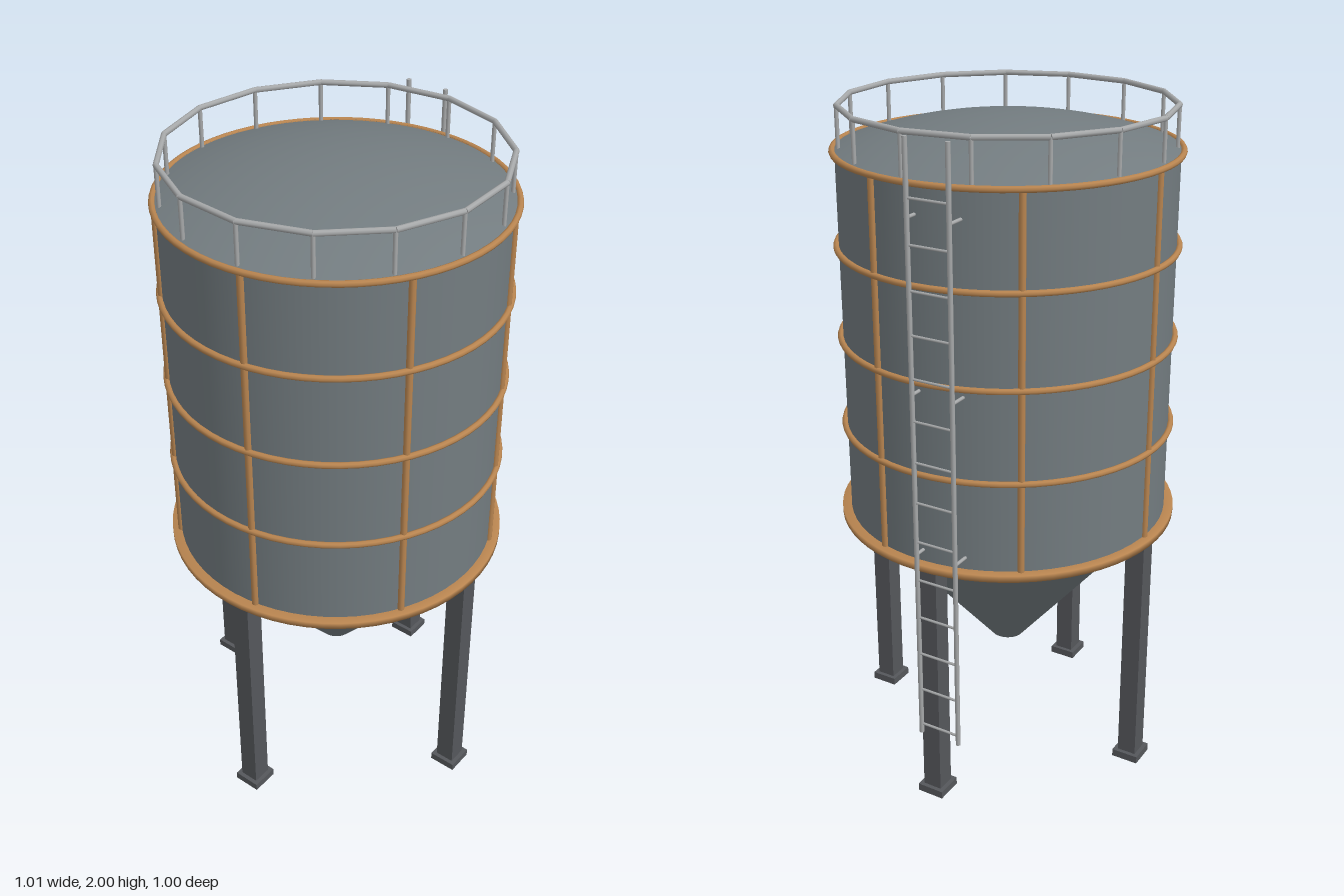
import * as THREE from 'three';

const mat = (color, side = THREE.FrontSide) => new THREE.MeshStandardMaterial({ color, side });
const steel = mat(0x737c80, THREE.DoubleSide);
const copper = mat(0xb98550);
const dark = mat(0x55575b);
const pipe = mat(0xa8aaab);

const V = (x, y, z) => new THREE.Vector3(x, y, z);
const CX = -0.009; // tank axis, offset to make room for the ladder

function add(parent, name, geometry, material, x = 0, y = 0, z = 0) {
  const mesh = new THREE.Mesh(geometry, material);
  mesh.name = name;
  mesh.position.set(x, y, z);
  parent.add(mesh);
  return mesh;
}

// Round bar between two points
function bar(parent, name, a, b, radius, material, sides = 8) {
  const d = b.clone().sub(a);
  const mesh = add(parent, name, new THREE.CylinderGeometry(radius, radius, d.length(), sides), material);
  mesh.position.copy(a).add(b).multiplyScalar(0.5);
  mesh.quaternion.setFromUnitVectors(V(0, 1, 0), d.normalize());
  return mesh;
}

// Point on a circle around the tank axis, angle in degrees from +z towards +x
function around(deg, r, y) {
  const a = THREE.MathUtils.degToRad(deg);
  return V(Math.sin(a) * r, y, Math.cos(a) * r);
}

export function createModel() {
  const model = new THREE.Group();
  model.name = 'silo';
  const tank = new THREE.Group();
  tank.name = 'tank';
  tank.position.x = CX;
  model.add(tank);

  // Shell, domed roof and hopper
  const shellR = 0.473;
  add(tank, 'shell', new THREE.CylinderGeometry(shellR, shellR, 1.085, 64, 1, true), steel, 0, 1.3325);
  const rise = 0.08;
  const domeR = (shellR * shellR + rise * rise) / (2 * rise);
  add(tank, 'roof',
    new THREE.SphereGeometry(domeR, 64, 10, 0, Math.PI * 2, 0, Math.asin(shellR / domeR)),
    steel, 0, 1.953 - domeR);
  add(tank, 'hopper', new THREE.CylinderGeometry(0.447, 0.05, 0.47, 64), steel, 0, 0.56);

  // Hoops around the shell
  for (const y of [1.073, 1.34, 1.605, 1.87]) {
    const hoop = add(tank, 'hoop', new THREE.TorusGeometry(0.48, 0.009, 8, 64), copper, 0, y);
    hoop.rotation.x = Math.PI / 2;
  }

  // Flat base flange
  const flange = [[0.44, 0.785], [0.5, 0.785], [0.5, 0.805], [0.44, 0.805], [0.44, 0.785]];
  const flangeGeometry = new THREE.LatheGeometry(flange.map(([r, y]) => new THREE.Vector2(r, y)), 64);
  add(tank, 'baseFlange', flangeGeometry, copper);

  // Vertical ribs
  for (let i = 0; i < 7; i++) {
    const deg = 22 + (i * 360) / 7;
    bar(tank, 'rib', around(deg, 0.474, 0.795), around(deg, 0.474, 1.87), 0.01, copper);
  }

  // Roof railing
  const railing = new THREE.Group();
  railing.name = 'railing';
  tank.add(railing);
  for (let i = 0; i < 15; i++) {
    const deg = 13.4 + i * 24;
    const top = around(deg, 0.462, 1.991);
    bar(railing, 'railPost', around(deg, 0.462, 1.868), top, 0.006, pipe);
    bar(railing, 'handrail', top, around(deg + 24, 0.462, 1.991), 0.008, pipe);
  }

  // Legs with foot plates
  for (const [x, z] of [[0.003, 0.456], [0.423, -0.008], [-0.026, -0.437], [-0.447, 0.012]]) {
    add(model, 'leg', new THREE.BoxGeometry(0.058, 0.77, 0.058), dark, x, 0.405, z);
    add(model, 'footPlate', new THREE.BoxGeometry(0.083, 0.023, 0.083), dark, x, 0.0115, z);
  }

  // Ladder with wall brackets
  const ladder = new THREE.Group();
  ladder.name = 'ladder';
  model.add(ladder);
  const lx = 0.497;
  const sides = [-0.007, -0.132];
  for (const z of sides) {
    bar(ladder, 'stile', V(lx, 0.25, z), V(lx, 1.992, z), 0.007, pipe);
    for (const y of [0.84, 1.315, 1.79]) {
      bar(ladder, 'bracket', V(0.44, y, z), V(lx, y, z), 0.005, pipe);
    }
  }
  for (let i = 0; i < 14; i++) {
    const y = 0.28 + i * 0.12;
    bar(ladder, 'rung', V(lx, y, sides[0]), V(lx, y, sides[1]), 0.004, pipe, 6);
  }

  return model;
}
